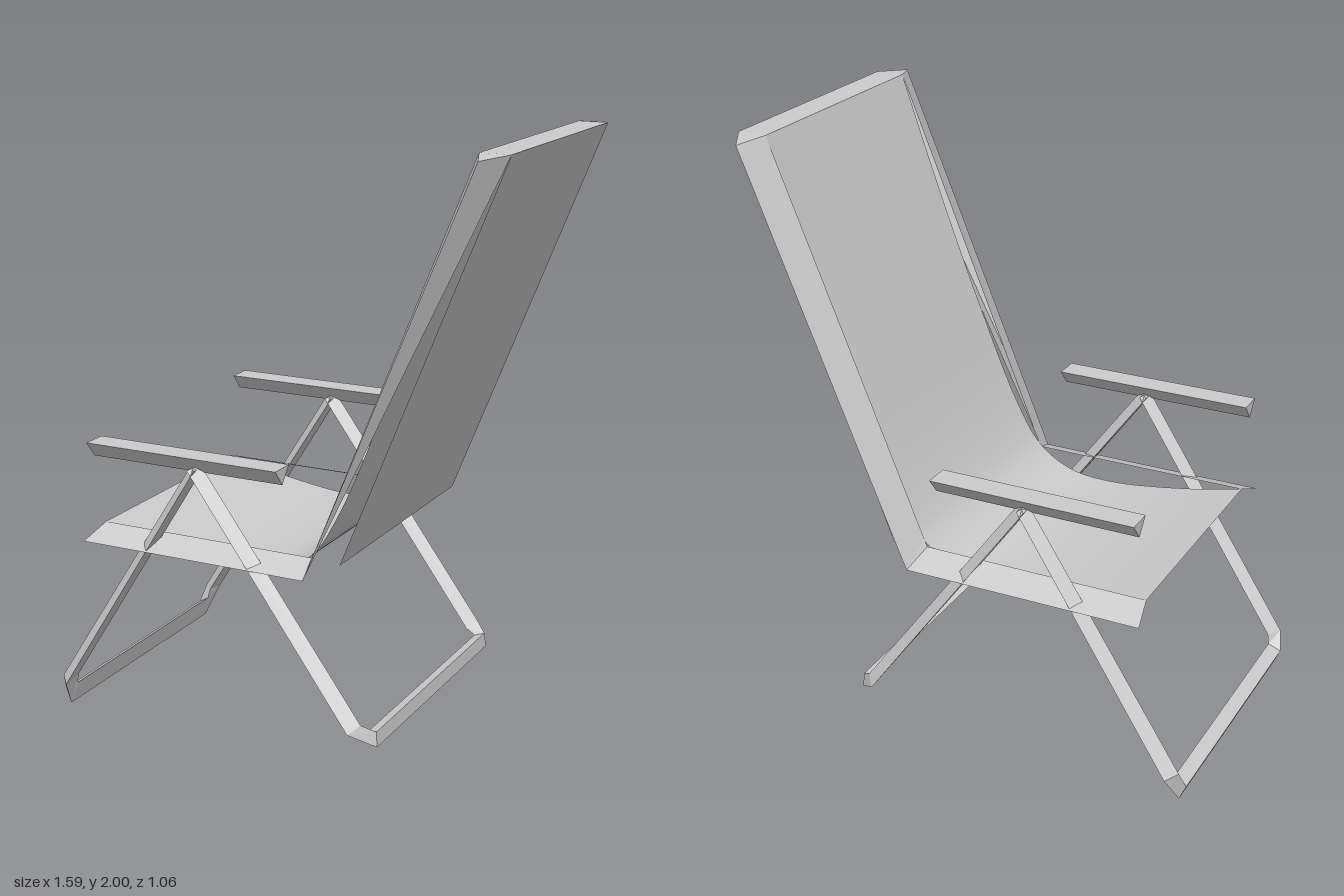
import * as THREE from 'three';

const material = (flat) => new THREE.MeshStandardMaterial({
  color: 0xcccccc, flatShading: flat, side: THREE.DoubleSide,
});

// Skins a list of cross-sections; closed sections get end caps.
function loft(name, rings, { closed = false, flat = true } = {}) {
  const n = rings[0].length;
  const index = [];
  for (let i = 0; i < rings.length - 1; i++) {
    for (let j = 0; j < (closed ? n : n - 1); j++) {
      const k = (j + 1) % n;
      const a = i * n + j, b = i * n + k, c = (i + 1) * n + k, d = (i + 1) * n + j;
      index.push(a, b, c, a, c, d);
    }
  }
  if (closed) {
    const last = (rings.length - 1) * n;
    for (let j = 1; j < n - 1; j++) {
      index.push(0, j + 1, j, last, last + j, last + j + 1);
    }
  }
  const geometry = new THREE.BufferGeometry();
  geometry.setAttribute('position', new THREE.Float32BufferAttribute(rings.flat(2), 3));
  geometry.setIndex(index);
  geometry.computeVertexNormals();
  const mesh = new THREE.Mesh(geometry, material(flat));
  mesh.name = name;
  return mesh;
}

const mirror = (ring) => ring.map(([x, y, z]) => [x, y, -z]);

// U-shaped leg loop of triangular tube: half is listed, the rest mirrored.
const legLoop = (name, half) =>
  loft(name, [...half, ...half.slice().reverse().map(mirror)], { closed: true });

export function createModel() {
  const chair = new THREE.Group();
  chair.name = 'foldingChair';

  // Leg loops, each section listed as outer, ridge and inner corner
  chair.add(legLoop('frontLegs', [
    [[-0.225, 0.94, 0.522], [-0.25, 0.955, 0.485], [-0.225, 0.94, 0.45]],
    [[-0.75, 0.1, 0.525], [-0.785, 0.115, 0.488], [-0.75, 0.11, 0.45]],
    [[-0.778, 0, 0.46], [-0.8, 0.05, 0.455], [-0.757, 0.075, 0.445]],
  ]));
  chair.add(legLoop('rearLegs', [
    [[-0.25, 0.94, 0.522], [-0.22, 0.955, 0.485], [-0.25, 0.94, 0.45]],
    [[0.325, 0.143, 0.525], [0.355, 0.168, 0.488], [0.325, 0.15, 0.45]],
    [[0.4, 0.09, 0.46], [0.395, 0.14, 0.455], [0.36, 0.13, 0.445]],
  ]));

  for (const s of [1, -1]) {
    const side = s > 0 ? 'left' : 'right';

    // Armrest: triangular bar with a flat top
    chair.add(loft(side + 'Armrest', [-0.625, 0.077].map((x) => [
      [x, 0.985, s * 0.44], [x, 0.985, s * 0.53], [x, 0.93, s * 0.485],
    ]), { closed: true }));

    // Sloping seat rail
    chair.add(loft(side + 'SeatRail', [
      [[-0.63, 0.68, s * 0.425], [-0.65, 0.64, s * 0.53]],
      [[0.15, 0.68, s * 0.425], [0.17, 0.64, s * 0.53]],
    ]));

    // Backrest side rail, widening upwards to a bevelled top corner
    const top = [[0.69, 2, s * 0.425], [0.73, 1.99, s * 0.53], [0.79, 2, s * 0.425]];
    chair.add(loft(side + 'BackRail', [
      [[0.15, 0.68, s * 0.425], [0.17, 0.64, s * 0.53], [0.15, 0.68, s * 0.43]],
      top,
    ]));
    chair.add(loft(side + 'BackCorner', [[top[0], top[1]], [top[2], top[1]]]));
  }

  // Top bar and flat rear panel of the backrest
  const across = (x, y, z) => [[x, y, z], [x, y, -z]];
  chair.add(loft('backTop', [across(0.69, 2, 0.425), across(0.79, 2, 0.425)]));
  chair.add(loft('backPanel', [across(0.79, 2, 0.425), across(0.26, 0.68, 0.45)]));

  // Sagging fabric running from the seat front up the backrest
  const profile = new THREE.CatmullRomCurve3([
    [-0.63, 0.68], [-0.4, 0.632], [-0.13, 0.6], [0.03, 0.617], [0.15, 0.69],
    [0.24, 0.83], [0.39, 1.18], [0.55, 1.6], [0.69, 2],
  ].map(([x, y]) => new THREE.Vector3(x, y, 0)));
  chair.add(loft('fabricSling',
    profile.getPoints(40).map((p) => across(p.x, p.y, 0.425)), { flat: false }));

  return chair;
}
